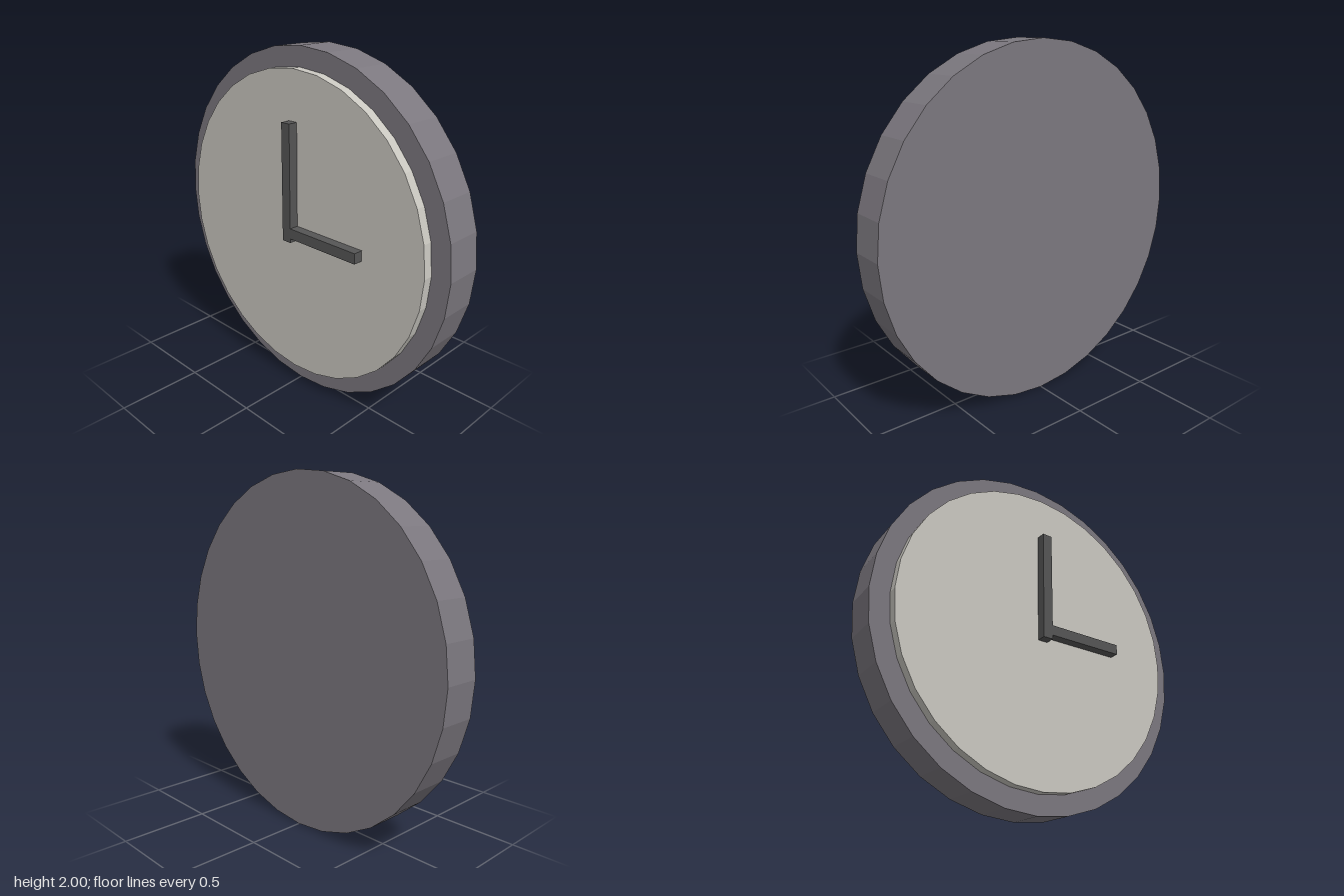
import * as THREE from 'three';

const material = (name, color) => {
  const m = new THREE.MeshStandardMaterial({ color, flatShading: true });
  m.name = name;
  return m;
};

export function createModel() {
  const clock = new THREE.Group();
  clock.name = 'wallClock';
  const caseGrey = material('case grey', 0x7b777e);
  const dialCream = material('dial cream', 0xc9c7c0);
  const handDark = material('hand dark grey', 0x555555);

  const add = (name, geometry, mat, x, y, z) => {
    const mesh = new THREE.Mesh(geometry, mat);
    mesh.name = name;
    mesh.position.set(x, y, z);
    clock.add(mesh);
  };

  // 32-sided disc facing the front, spanning z0 to z1
  const disc = (name, radius, z0, z1, mat) => {
    const geometry = new THREE.CylinderGeometry(radius, radius, z1 - z0, 32).rotateX(Math.PI / 2);
    add(name, geometry, mat, 0, 1, (z0 + z1) / 2);
  };

  // Upright bar lying on the dial
  const hand = (name, x0, x1, y0, y1) => {
    const geometry = new THREE.BoxGeometry(x1 - x0, y1 - y0, 0.055);
    add(name, geometry, handDark, (x0 + x1) / 2, (y0 + y1) / 2, 0.1375);
  };

  disc('case', 1, -0.165, 0.055, caseGrey);
  disc('dial', 0.89, 0.055, 0.11, dialCream);

  // Hands showing three o'clock
  hand('minuteHand', -0.03, 0.03, 0.945, 1.615);
  hand('hourHand', 0.03, 0.5, 0.97, 1.03);

  return clock;
}
